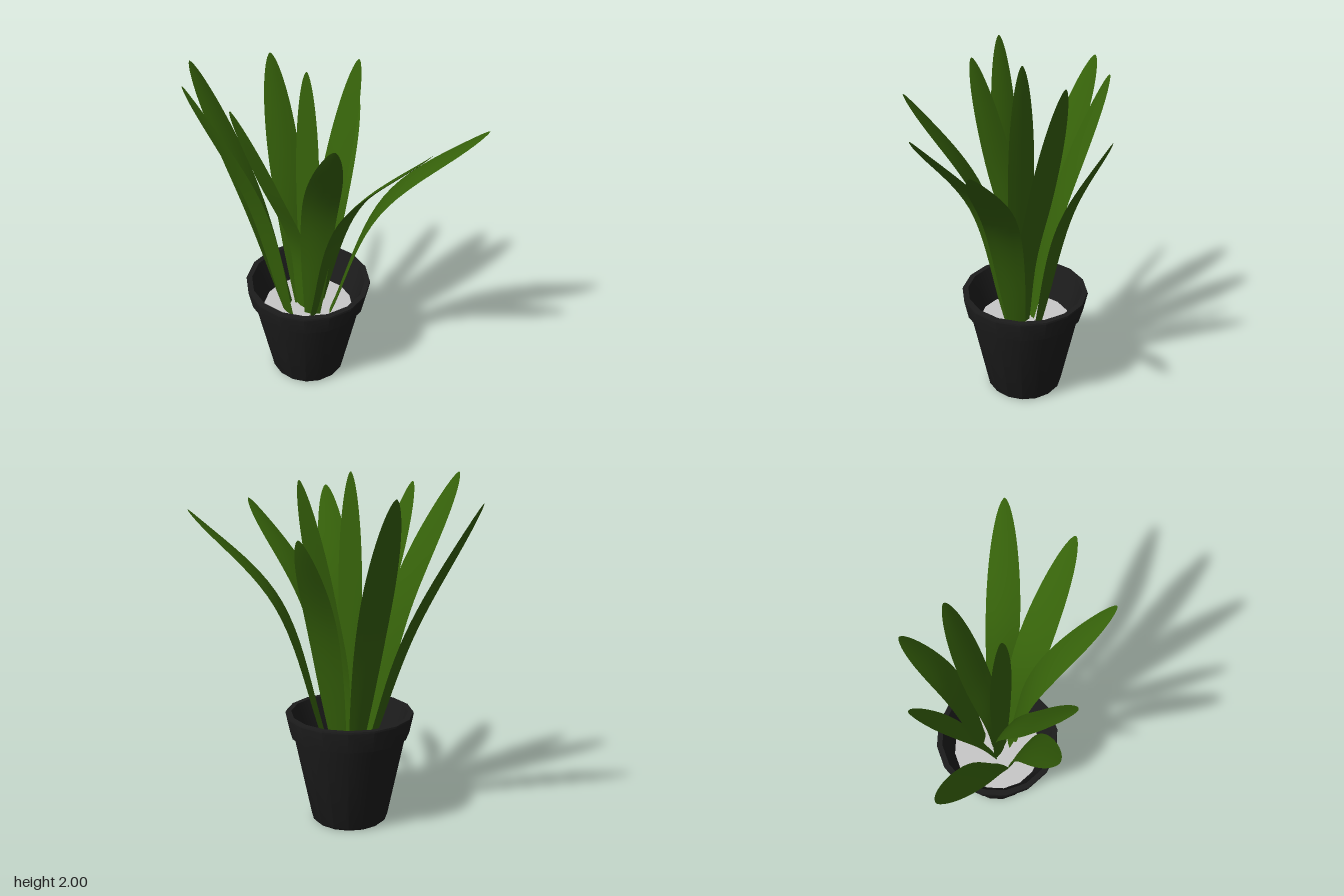
import * as THREE from 'three';
import { toCreasedNormals } from 'three/addons/utils/BufferGeometryUtils.js';

const green = new THREE.MeshStandardMaterial({ color: 0x36620a, side: THREE.DoubleSide });
green.name = 'leafGreen';
const black = new THREE.MeshStandardMaterial({ color: 0x1c1c1c });
black.name = 'potBlack';
const grey = new THREE.MeshStandardMaterial({ color: 0xc8c8c8 });
grey.name = 'soilGrey';

const SOIL_Y = 0.45;
const ROWS = 28, COLS = 4, THICK = 0.007;

// Half width of a blade along its length: widening, then a rounded tip
function halfWidth(t) {
  if (t < 0.58) return 0.047 + 0.048 * Math.sin((t / 0.58) * Math.PI / 2);
  const s = (t - 0.58) / 0.42;
  return 0.095 * Math.pow(Math.max(0, 1 - s * s), 0.6);
}

// A slim lens-shaped blade swept along a curve; front and back skins are separate
function leafGeometry({ path, across }) {
  const curve = new THREE.CatmullRomCurve3(path.map((p) => new THREE.Vector3(...p)));
  const base = path[0], tip = path[path.length - 1];
  // Blades face along their lean unless a horizontal width direction is given
  const [ax, az] = across ?? [tip[2] - base[2], base[0] - tip[0]];
  const flat = new THREE.Vector3(ax, 0, az).normalize();
  const positions = [], index = [];
  for (const side of [1, -1]) {
    const start = positions.length / 3;
    for (let i = 0; i <= ROWS; i++) {
      const t = Math.sin((i / ROWS) * Math.PI / 2); // rows crowd toward the tip
      const p = curve.getPointAt(t);
      const tangent = curve.getTangentAt(t);
      const normal = new THREE.Vector3().crossVectors(flat, tangent).normalize();
      const width = new THREE.Vector3().crossVectors(tangent, normal).normalize();
      for (let j = 0; j <= COLS; j++) {
        const u = (j / COLS) * 2 - 1;
        const v = p.clone()
          .addScaledVector(width, u * halfWidth(t))
          .addScaledVector(normal, side * THICK * (1 - u * u) * (1 - t ** 12));
        positions.push(v.x, v.y, v.z);
      }
    }
    for (let i = 0; i < ROWS; i++) {
      for (let j = 0; j < COLS; j++) {
        const a = start + i * (COLS + 1) + j, b = a + 1, c = a + COLS + 1, d = c + 1;
        if (side > 0) index.push(a, b, d, a, d, c);
        else index.push(a, d, b, a, c, d);
      }
    }
  }
  const geometry = new THREE.BufferGeometry();
  geometry.setAttribute('position', new THREE.Float32BufferAttribute(positions, 3));
  geometry.setIndex(index);
  geometry.computeVertexNormals();
  return geometry;
}

// Each leaf: centre line from soil to tip, and optional width direction (x, z)
const LEAVES = [
  { path: [[0.09, SOIL_Y, -0.1], [0.33, 1.27, -0.25], [0.745, 1.78, -0.545]], across: [-0.62, -0.78] },
  { path: [[0.06, SOIL_Y, 0.005], [0.28, 1.25, -0.035], [0.757, 1.82, -0.105]] },
  { path: [[0.045, SOIL_Y, 0.01], [0.185, 1.27, 0.09], [0.517, 1.89, 0.3]], across: [0.74, -0.67] },
  { path: [[-0.055, SOIL_Y, 0.01], [-0.05, 0.9, 0.04], [-0.05, 1.39, 0.235], [-0.05, 1.93, 0.46]], across: [1, 0] },
  { path: [[-0.06, SOIL_Y, 0.11], [-0.14, 1.25, 0.265], [-0.32, 1.99, 0.545]], across: [1, 0] },
  { path: [[-0.11, SOIL_Y, 0.07], [-0.345, 1.12, 0.125], [-0.765, 1.865, 0.2]], across: [0.32, 0.95] },
  { path: [[-0.08, SOIL_Y, -0.02], [-0.245, 1.15, -0.065], [-0.51, 1.89, -0.165]] },
  { path: [[-0.05, SOIL_Y, -0.12], [-0.09, 1.2, -0.29], [-0.18, 1.69, -0.52]] },
  { path: [[0, SOIL_Y, -0.045], [0, 0.85, -0.07], [0, 1.29, -0.18], [0, 1.97, -0.355]], across: [1, 0] },
  { path: [[-0.015, SOIL_Y, 0], [-0.015, 1.25, -0.005], [-0.02, 2, -0.005]], across: [1, 0] },
];

export function createModel() {
  const model = new THREE.Group();
  model.name = 'pottedPlant';

  // Pot: tapered body, stepped rim and hollow inside
  const pot = new THREE.Group();
  pot.name = 'pot';
  pot.position.set(-0.03, 0, -0.023);
  const profile = [
    [0, 0.004], [0.212, 0.004], [0.223, 0.017], [0.327, 0.525], [0.345, 0.525],
    [0.369, 0.64], [0.366, 0.65], [0.335, 0.65], [0.265, 0.44],
  ].map(([r, y]) => new THREE.Vector2(r, y));
  const shell = new THREE.Mesh(toCreasedNormals(new THREE.LatheGeometry(profile, 16), 0.6), black);
  shell.name = 'potShell';
  pot.add(shell);

  // Soil surface inside the pot
  const soil = new THREE.Mesh(new THREE.CircleGeometry(0.268, 16).rotateX(-Math.PI / 2), grey);
  soil.name = 'soil';
  soil.position.y = SOIL_Y;
  pot.add(soil);
  model.add(pot);

  // Leaves
  const leaves = new THREE.Group();
  leaves.name = 'leaves';
  LEAVES.forEach((spec, i) => {
    const leaf = new THREE.Mesh(leafGeometry(spec), green);
    leaf.name = `leaf${i + 1}`;
    leaves.add(leaf);
  });
  model.add(leaves);
  return model;
}
